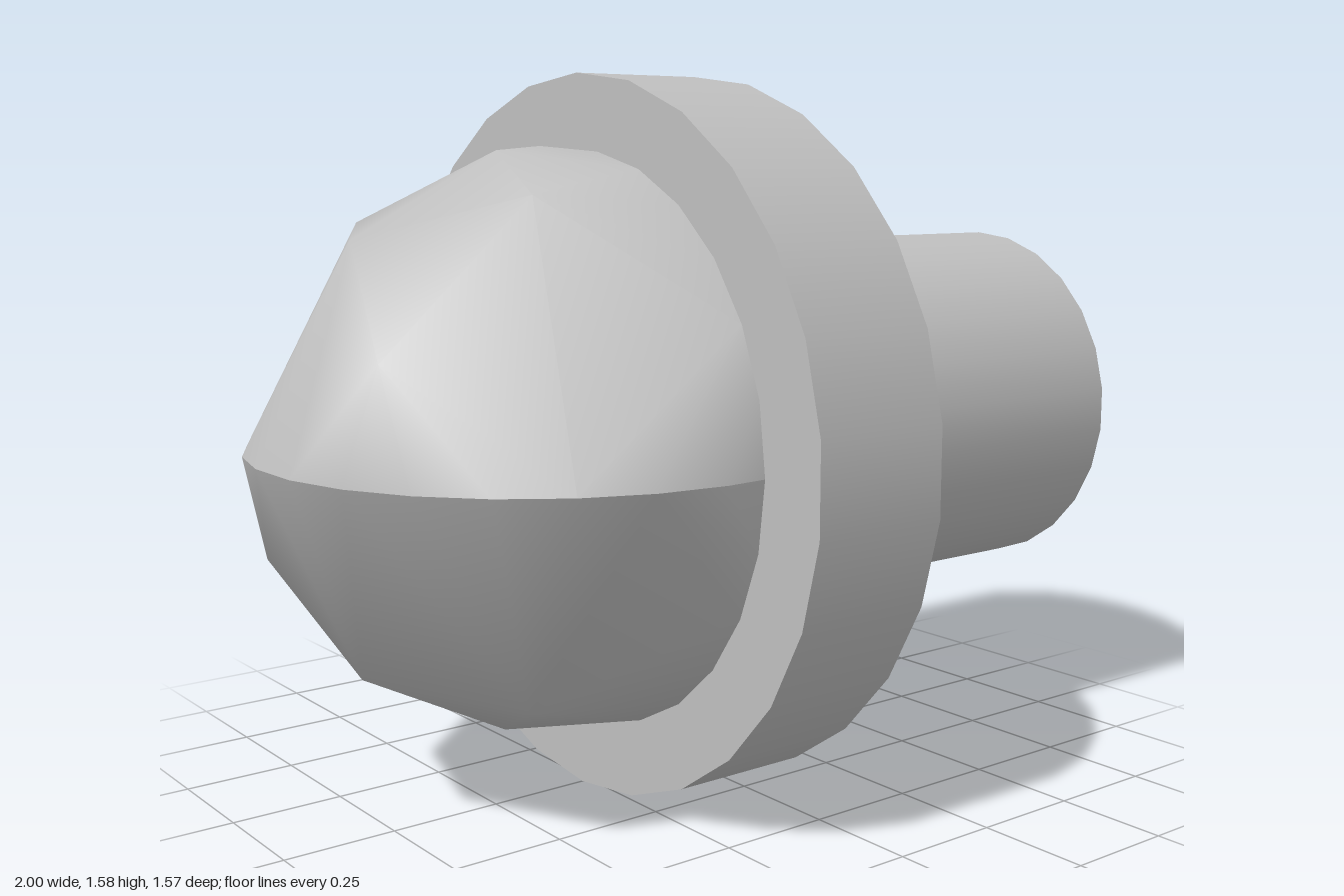
import * as THREE from 'three';
import { mergeVertices } from 'three/addons/utils/BufferGeometryUtils.js';
import { ConvexGeometry } from 'three/addons/geometries/ConvexGeometry.js';

const SEGMENTS = 26;
const AXIS_Y = 0.79;
const RIM_X = -0.27;
const HEAD = { x: -0.365, r: 0.635 };

// Cylinder along x from x0 to x1, with a corner at the very top and bottom
function disc(name, radius, x0, x1, material) {
  const geometry = new THREE.CylinderGeometry(radius, radius, x1 - x0, SEGMENTS, 1, false, Math.PI / 2);
  geometry.rotateZ(-Math.PI / 2);
  const mesh = new THREE.Mesh(geometry, material);
  mesh.name = name;
  mesh.position.set((x0 + x1) / 2, AXIS_Y, 0);
  return mesh;
}

// Coarse dome: a fine horizontal arc, a fine rim and a few points between them
function domeHalves() {
  const points = [];
  const onSphere = (x, y, z) =>
    points.push(new THREE.Vector3(x, y, z).setLength(HEAD.r).add(new THREE.Vector3(HEAD.x, 0, 0)));
  const step = (2 * Math.PI) / SEGMENTS;

  // horizontal arc around the nose
  for (let i = 0; i <= 13; i++) {
    const a = -Math.PI / 2 + i * step;
    onSphere(-Math.cos(a), 0, Math.sin(a));
  }
  // rim against the flange
  const rimR = Math.sqrt(HEAD.r ** 2 - (RIM_X - HEAD.x) ** 2);
  for (let i = 0; i < SEGMENTS; i++) {
    points.push(new THREE.Vector3(RIM_X, rimR * Math.sin(i * step), rimR * Math.cos(i * step)));
  }
  // sparse points of the upper half, turned half a turn for the lower half
  const sparse = [
    [-0.707, 0.707, 0], [-0.17, 0.985, 0], [0, 1, 0],
    [-0.835, 0.365, 0.41], [-0.31, 0.85, 0.43], [-0.41, 0.74, -0.53],
  ];
  for (const [x, y, z] of sparse) {
    onSphere(x, y, z);
    onSphere(x, -y, -z);
  }

  // split at the horizontal arc so each half is smooth but the seam stays sharp
  const hull = new ConvexGeometry(points).getAttribute('position');
  const halves = [[], []];
  for (let i = 0; i < hull.count; i += 3) {
    const corners = [0, 1, 2].map((k) => new THREE.Vector3().fromBufferAttribute(hull, i + k));
    if (corners.every((c) => c.x > RIM_X - 1e-4)) continue; // hidden back
    const half = corners[0].y + corners[1].y + corners[2].y > 0 ? 0 : 1;
    for (const c of corners) halves[half].push(c.x, c.y, c.z);
  }
  return halves.map((coords) => {
    const geometry = new THREE.BufferGeometry();
    geometry.setAttribute('position', new THREE.Float32BufferAttribute(coords, 3));
    const merged = mergeVertices(geometry, 1e-4);
    merged.computeVertexNormals();
    return merged;
  });
}

export function createModel() {
  const metal = new THREE.MeshStandardMaterial({ color: 0xbfbfbf });
  metal.name = 'light grey metal';

  const model = new THREE.Group();
  model.name = 'domedPin';
  model.add(disc('flange', 0.79, RIM_X, 0.05, metal));
  model.add(disc('stem', 0.42, 0.05, 1, metal));

  const head = new THREE.Group();
  head.name = 'domedHead';
  head.position.y = AXIS_Y;
  domeHalves().forEach((geometry, i) => {
    const mesh = new THREE.Mesh(geometry, metal);
    mesh.name = i === 0 ? 'upperDome' : 'lowerDome';
    head.add(mesh);
  });
  model.add(head);
  return model;
}
